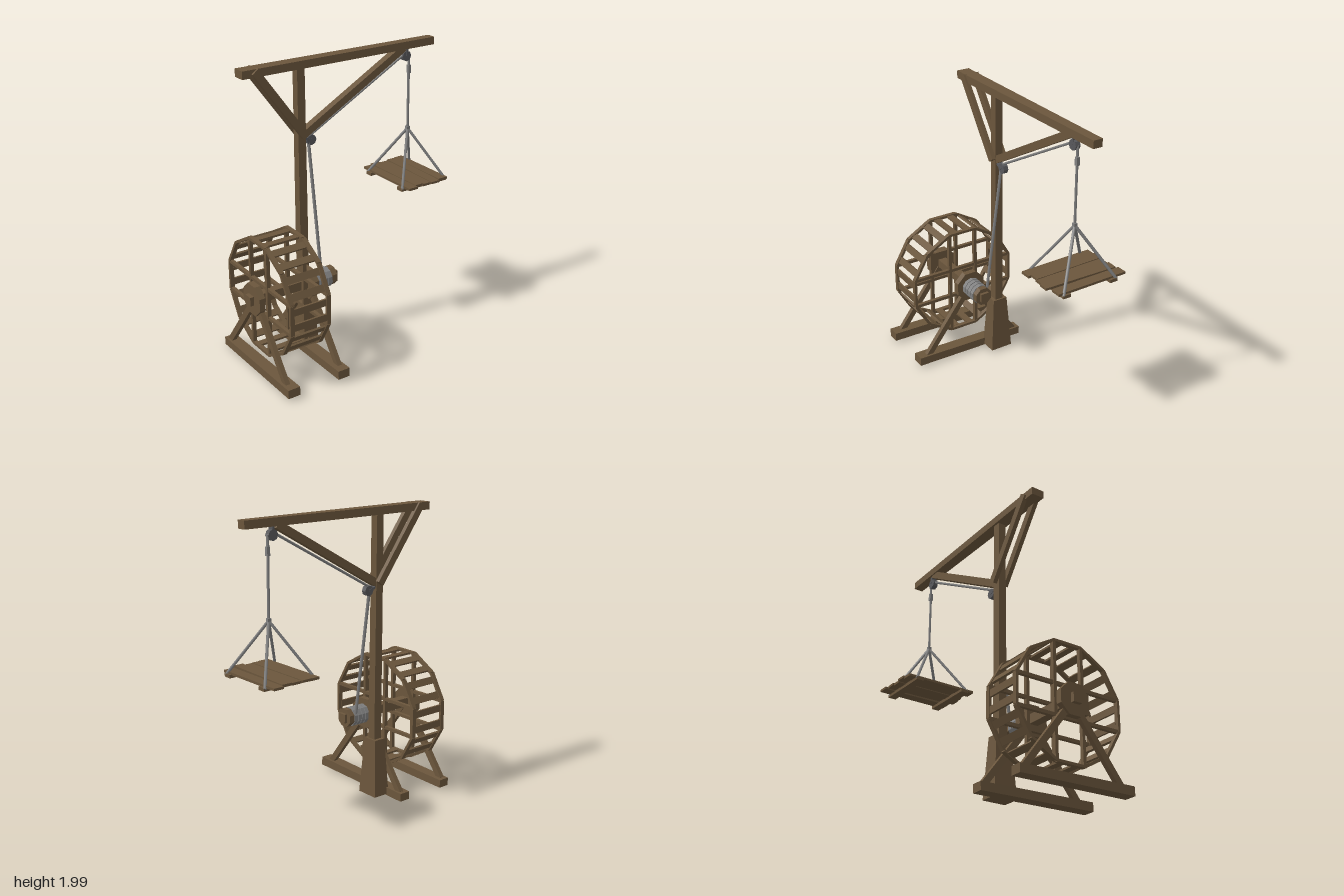
import * as THREE from 'three';

const mat = (name, color) => {
  const m = new THREE.MeshStandardMaterial({ color });
  m.name = name;
  return m;
};

export function createModel() {
  const root = new THREE.Group();
  root.name = 'treadwheelCrane';
  const wood = mat('wood', 0x6b563c);
  const rope = mat('rope', 0x808080);
  const iron = mat('iron', 0x58585b);
  const V = (x, y, z) => new THREE.Vector3(x, y, z);

  const group = (name, parent = root) => {
    const g = new THREE.Group();
    g.name = name;
    parent.add(g);
    return g;
  };
  const add = (parent, name, geo, m) => {
    const mesh = new THREE.Mesh(geo, m);
    mesh.name = name;
    parent.add(mesh);
    return mesh;
  };
  // Square timber from a to b; w is measured along the side axis, d across it; taper scales the far end
  const beam = (parent, name, a, b, w, d, m = wood, side = V(1, 0, 0), taper = 1) => {
    const dir = b.clone().sub(a);
    const len = dir.length();
    dir.normalize();
    const z = new THREE.Vector3().crossVectors(side, dir).normalize();
    const x = new THREE.Vector3().crossVectors(dir, z);
    const geo = new THREE.BoxGeometry(w, len, d);
    const p = geo.attributes.position;
    for (let i = 0; i < p.count; i++) {
      if (p.getY(i) > 0) p.setXYZ(i, p.getX(i) * taper, p.getY(i), p.getZ(i) * taper);
    }
    geo.computeVertexNormals();
    geo.applyMatrix4(new THREE.Matrix4().makeBasis(x, dir, z));
    const mesh = add(parent, name, geo, m);
    mesh.position.copy(a).add(b).multiplyScalar(0.5);
    return mesh;
  };
  // Faceted disc whose axis runs along x
  const discX = (parent, name, x, y, z, r, width, sides, m) => {
    const geo = new THREE.CylinderGeometry(r, r, width, sides).toNonIndexed();
    geo.rotateY(Math.PI / sides).rotateZ(Math.PI / 2);
    geo.computeVertexNormals();
    const mesh = add(parent, name, geo, m);
    mesh.position.set(x, y, z);
    return mesh;
  };
  const cord = (parent, name, a, b, r = 0.009) => {
    const geo = new THREE.CylinderGeometry(r, r, a.distanceTo(b), 6);
    const mesh = add(parent, name, geo, rope);
    mesh.position.copy(a).add(b).multiplyScalar(0.5);
    mesh.quaternion.setFromUnitVectors(V(0, 1, 0), b.clone().sub(a).normalize());
    return mesh;
  };

  // Mast, tapered footing, boom and braces
  const Z = -0.168;
  const Zaxis = V(0, 0, 1);
  const tower = group('mastAndBoom');
  beam(tower, 'mastFooting', V(-0.272, 0.015, Z), V(-0.272, 0.415, Z), 0.126, 0.163, wood, V(1, 0, 0), 0.66);
  beam(tower, 'mast', V(-0.274, 0.4, Z), V(-0.274, 1.945, Z), 0.062, 0.06, wood, V(1, 0, 0), 0.9);
  beam(tower, 'boom', V(-0.7, 1.967, Z), V(0.79, 1.967, Z), 0.09, 0.052, wood, Zaxis);
  const boom = tower.children[2].geometry.attributes.position;
  for (let i = 0; i < boom.count; i++) if (boom.getX(i) > 0) boom.setZ(i, boom.getZ(i) * 0.72);
  beam(tower, 'longBrace', V(-0.265, 1.49, Z), V(0.545, 1.95, Z), 0.052, 0.05, wood, Zaxis);
  for (const s of [-1, 1]) {
    beam(tower, 'shortBrace', V(-0.615, 1.98, Z + s * 0.043), V(-0.26, 1.495, Z + s * 0.043), 0.03, 0.05, wood, Zaxis);
  }

  // Treadwheel: two twelve-sided rims, paired spokes and treads
  const Y0 = 0.535, Z0 = 0.016, A = 0.393;
  const wheel = group('treadwheel');
  const rimPoint = (x, angle, r) => V(x, Y0 + r * Math.cos(angle), Z0 + r * Math.sin(angle));
  const corner = (A - 0.009) / Math.cos(Math.PI / 12);
  for (const x of [-0.713, -0.444]) {
    for (let i = 0; i < 12; i++) {
      const a = (i - 0.5) * Math.PI / 6;
      beam(wheel, 'rimSegment', rimPoint(x, a, corner), rimPoint(x, a + Math.PI / 6, corner), 0.03, 0.018);
    }
    for (const s of [-0.103, 0.103]) {
      beam(wheel, 'uprightSpoke', V(x, Y0 - A + 0.004, Z0 + s), V(x, Y0 + A - 0.004, Z0 + s), 0.026, 0.022);
      beam(wheel, 'levelSpoke', V(x, Y0 + s, Z0 - A + 0.004), V(x, Y0 + s, Z0 + A - 0.004), 0.024, 0.022);
    }
  }
  for (let i = 0; i < 24; i++) {
    const face = Math.floor(i / 2) * Math.PI / 6;
    const off = (i % 2 ? 1 : -1) * 0.054;
    const tread = add(wheel, 'tread', new THREE.BoxGeometry(0.25, 0.014, 0.048), wood);
    tread.position.set(-0.578,
      Y0 + (A - 0.012) * Math.cos(face) - off * Math.sin(face),
      Z0 + (A - 0.012) * Math.sin(face) + off * Math.cos(face));
    tread.rotation.x = face;
  }

  // Axle, bearings and winding drum
  const winch = group('winch');
  beam(winch, 'axle', V(-0.805, Y0 + 0.002, Z0), V(-0.135, Y0 + 0.002, Z0), 0.062, 0.062, wood, Zaxis);
  for (const x of [-0.757, -0.35]) discX(winch, 'bearing', x, Y0, Z0, 0.113, 0.042, 8, wood);
  discX(winch, 'drumCore', -0.265, Y0, Z0, 0.056, 0.14, 8, wood);
  discX(winch, 'drumFlange', -0.176, Y0, Z0, 0.066, 0.04, 8, wood);
  for (let i = 0; i < 4; i++) {
    const coil = discX(winch, 'ropeCoil', -0.313 + i * 0.034, Y0 - 0.002, Z0, 0.069, 0.03, 10, rope);
    coil.rotation.z = 0.04;
  }

  // Ground beams and slanted legs carrying the axle
  for (const [x, legX] of [[-0.737, -0.745], [-0.357, -0.348]]) {
    const frame = group('wheelStand');
    beam(frame, 'groundBeam', V(x, 0.031, -0.39), V(x, 0.05, 0.448), 0.08, 0.056, wood, V(1, 0, 0), 1.08);
    for (const s of [-1, 1]) {
      beam(frame, 'leg', V(legX, 0.05, Z0 + s * 0.365), V(legX, Y0 - 0.03, Z0 + s * 0.02), 0.032, 0.042);
    }
  }

  // Pulleys under the boom and on the mast
  const rig = group('hoistRigging');
  for (const [x, y] of [[0.572, 1.888], [-0.195, 1.45]]) {
    const geo = new THREE.CylinderGeometry(0.036, 0.036, 0.034, 8).toNonIndexed().rotateX(Math.PI / 2);
    geo.computeVertexNormals();
    add(rig, 'pulley', geo, iron).position.set(x, y, Z);
  }
  beam(rig, 'pulleyHanger', V(0.572, 1.89, Z), V(0.572, 1.95, Z), 0.016, 0.04, iron);
  beam(rig, 'pulleyBracket', V(-0.25, 1.47, Z), V(-0.195, 1.45, Z), 0.04, 0.016, iron, Zaxis);

  // Hoisting rope
  const hook = V(0.605, 1.37, Z);
  cord(rig, 'winchRope', V(-0.208, 0.57, -0.045), V(-0.214, 1.455, Z + 0.004), 0.011);
  cord(rig, 'braceRope', V(-0.205, 1.475, Z), V(0.56, 1.9, Z), 0.009);
  cord(rig, 'overRope', V(0.575, 1.915, Z), V(0.602, 1.885, Z));
  cord(rig, 'dropRope', V(0.602, 1.89, Z), hook);
  beam(rig, 'ropeKnot', V(0.604, 1.765, Z), V(0.604, 1.82, Z), 0.022, 0.022, rope);
  beam(rig, 'slingKnot', V(0.605, 1.355, Z), V(0.605, 1.385, Z), 0.024, 0.024, rope);

  // Hanging platform: uneven planks on two cross bars, with four sling ropes
  const platform = group('platform');
  const planks = [
    // x back, x front, z back, z front
    [0.455, 0.463, -0.425, 0.095],
    [0.522, 0.53, -0.435, 0.075],
    [0.592, 0.592, -0.425, 0.08],
    [0.668, 0.655, -0.43, 0.095],
    [0.742, 0.745, -0.448, 0.065],
  ];
  planks.forEach(([xb, xf, zb, zf], i) => {
    const y = 1.034 + (i % 2) * 0.005;
    beam(platform, 'plank', V(xb, y, zb), V(xf, y, zf), 0.071, 0.016, wood, V(1, 0, 0), i % 2 ? 0.95 : 1.04);
  });
  for (const z of [0.012, -0.345]) {
    beam(platform, 'crossBar', V(0.405, 1.018, z), V(0.795, 1.018, z), 0.055, 0.022, wood, Zaxis);
  }
  for (const x of [0.412, 0.788]) {
    for (const z of [0.035, -0.37]) cord(platform, 'slingRope', hook, V(x, 1.02, z), 0.01);
  }
  return root;
}
